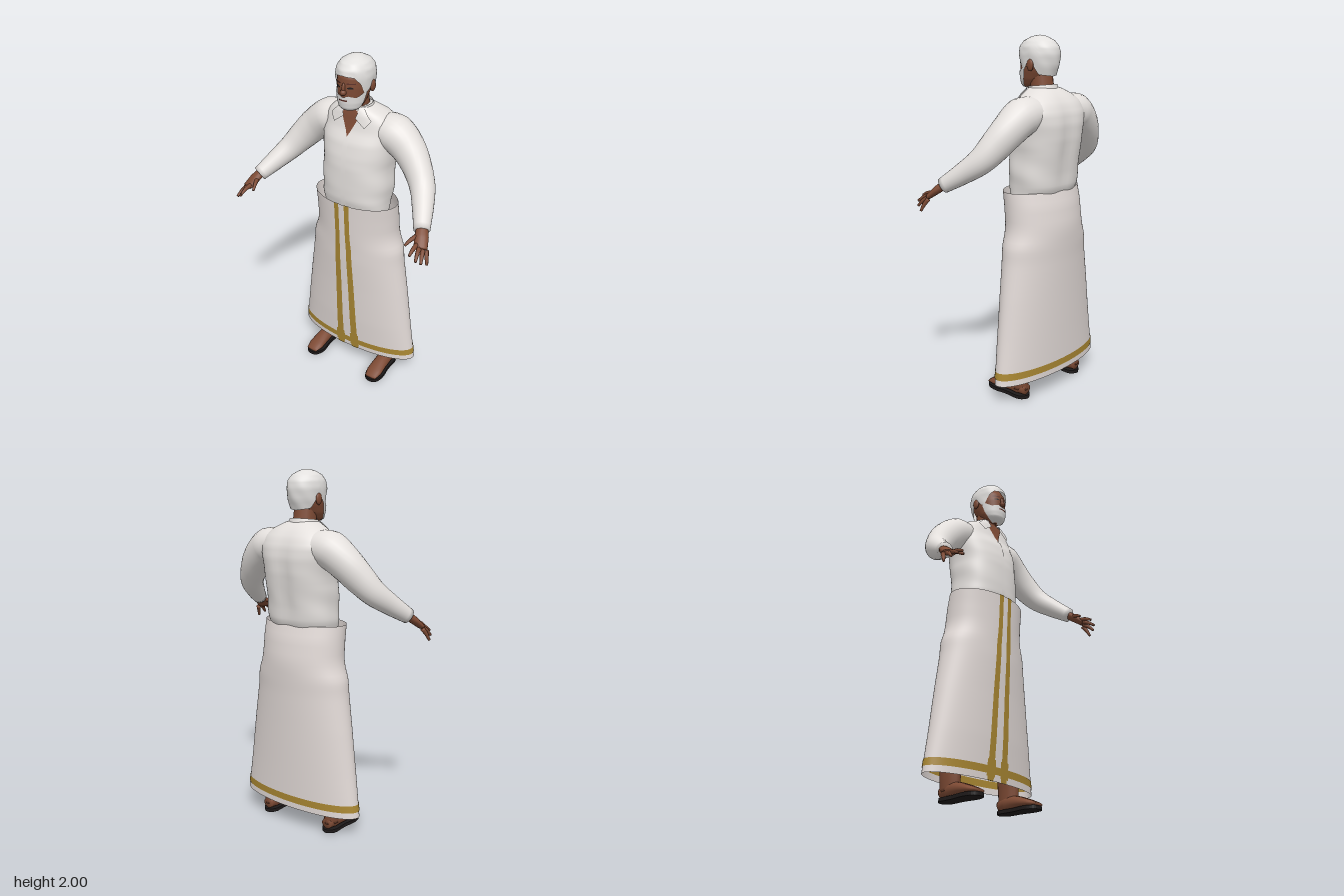
import * as THREE from 'three';
import { mergeVertices } from 'three/addons/utils/BufferGeometryUtils.js';

const mat = (name, color) => new THREE.MeshStandardMaterial({ name, color, side: THREE.DoubleSide });
const { PI, sin, cos, abs, sign, sqrt, min, max } = Math;

// Grid surface from f(u, v) -> [x, y, z]
function patch(f, nu, nv) {
  const pos = [], idx = [];
  for (let j = 0; j <= nv; j++) for (let i = 0; i <= nu; i++) pos.push(...f(i / nu, j / nv));
  for (let j = 0; j < nv; j++) for (let i = 0; i < nu; i++) {
    const a = j * (nu + 1) + i, b = a + nu + 1;
    idx.push(a, a + 1, b, a + 1, b + 1, b);
  }
  let g = new THREE.BufferGeometry();
  g.setAttribute('position', new THREE.Float32BufferAttribute(pos, 3));
  g.setIndex(idx);
  g = mergeVertices(g, 1e-5);
  g.computeVertexNormals();
  return g;
}

// Rounded tube through [x, y, z, radiusA, radiusB] stations, closed at both ends
function limb(pts, up = new THREE.Vector3(0, 1, 0), sides = 16, rings = 20) {
  const curve = new THREE.CatmullRomCurve3(pts.map(p => new THREE.Vector3(p[0], p[1], p[2])));
  return patch((u, v) => {
    const t = min(1, max(0, (v * (rings + 2) - 1) / rings)), end = v === 0 || v === 1;
    const k = min(pts.length - 2, Math.floor(t * (pts.length - 1))), f = t * (pts.length - 1) - k;
    const r = i => end ? 0 : pts[k][i] + (pts[k + 1][i] - pts[k][i]) * f;
    const c = curve.getPoint(t), d = curve.getTangent(t);
    const n = up.clone().cross(d).normalize(), b = d.clone().cross(n);
    const a = (u === 1 ? 0 : u) * 2 * PI;
    return c.addScaledVector(n, cos(a) * r(3)).addScaledVector(b, sin(a) * r(4)).toArray();
  }, sides, rings + 2);
}

// Linear lookup in a table whose first column is the key
function at(table, y) {
  let k = 0;
  while (k < table.length - 2 && y > table[k + 1][0]) k++;
  const a = table[k], b = table[k + 1], f = min(1, max(0, (y - a[0]) / (b[0] - a[0])));
  return a.map((v, i) => v + (b[i] - v) * f);
}

// Point on a stacked oval: table rows are [y, half width, back z, front z], angle 0 is front
const pw = (v, p) => sign(v) * abs(v) ** p;
function oval(table, th, y, off = 0, p = 1) {
  const [, w, zb, zf] = at(table, y);
  return [(w + off) * pw(sin(th), p), y, (zb + zf) / 2 + ((zf - zb) / 2 + off) * pw(cos(th), p)];
}

const SKIRT = [[.12, .4, -.24, .01], [.35, .367, -.247, .03], [.6, .332, -.255, .045], [.8, .3, -.262, .06],
  [.88, .293, -.267, .063], [.95, .265, -.27, .068], [1.0, .257, -.268, .071], [1.1, .257, -.253, .076], [1.18, .258, -.23, .08]];
const TORSO = [[1.12, .19, -.21, .04], [1.2, .202, -.245, .06], [1.27, .203, -.252, .062], [1.4, .2, -.272, .06],
  [1.46, .205, -.28, .053], [1.54, .215, -.283, .035], [1.6, .22, -.273, .005], [1.65, .205, -.25, -.008],
  [1.69, .16, -.215, -.016], [1.72, .1, -.175, -.025], [1.735, .06, -.14, -.03]];
const HEAD = [[1.715, .005, -.03, .0], [1.725, .04, -.06, .03], [1.74, .058, -.08, .043], [1.77, .072, -.115, .049],
  [1.81, .081, -.145, .052], [1.85, .087, -.162, .053], [1.9, .088, -.165, .048], [1.95, .07, -.14, .02], [1.98, .01, -.07, -.06]];
const HAIR = [[1.78, .084, -.155, .05], [1.84, .094, -.178, .058], [1.9, .1, -.186, .06], [1.94, .094, -.178, .053],
  [1.97, .075, -.152, .03], [1.99, .043, -.11, -.012], [1.997, .022, -.09, -.04], [2, .001, -.066, -.064]];
const HAIRLINE = [[0, 1.915], [.6, 1.908], [.95, 1.87], [1.15, 1.82], [1.4, 1.825], [1.65, 1.875], [1.95, 1.83], [2.2, 1.795], [PI, 1.785]];
const BEARDLINE = [[0, 1.802], [.35, 1.812], [.8, 1.803], [1.1, 1.82], [1.4, 1.845]];

// Front of the shirt at (x, y)
const ROUND = .82;
function chest(x, y, off) {
  const [, w, zb, zf] = at(TORSO, y);
  const s = min(1, abs(x) / w) ** (1 / ROUND);
  return [x, y, (zb + zf) / 2 + (zf - zb) / 2 * sqrt(1 - s * s) ** ROUND + off];
}

export function createModel() {
  const model = new THREE.Group();
  model.name = 'standingMan';
  const shirt = mat('shirtWhite', 0xe4e0dd), cloth = mat('skirtWhite', 0xe0d8d5), gold = mat('goldTrim', 0xa88632);
  const skin = mat('skin', 0x7d4a34), hair = mat('hairWhite', 0xe2e0de), dark = mat('soleBlack', 0x1e1a1a);
  const lip = mat('lip', 0x5a3028);
  const add = (name, geo, m) => {
    const mesh = new THREE.Mesh(geo, m);
    mesh.name = name;
    model.add(mesh);
    return mesh;
  };
  const ball = (name, m, x, y, z, sx, sy, sz) => {
    const b = add(name, new THREE.SphereGeometry(1, 16, 12), m);
    b.position.set(x, y, z);
    b.scale.set(sx, sy, sz);
  };

  // Long wrapped skirt with gold hem and front stripes, trimmed on both faces
  const wrap = (name, m, t0, t1, y0, y1, off, nu, nv) => add(name,
    patch((u, v) => oval(SKIRT, t0 + (t1 - t0) * u, y0 + (y1 - y0) * v, off), nu, nv), m);
  wrap('skirt', cloth, -PI, PI, .12, 1.18, 0, 72, 40);
  for (const off of [.003, -.003]) {
    wrap('hemBand', gold, -PI, PI, .155, .195, off, 72, 2);
    for (const s of [-1, 1]) {
      wrap('frontStripe', gold, s * .07, s * .185, .12, 1.18, off, 4, 40);
      wrap('stripeKnot', gold, s * .05, s * .205, .14, .23, off * 1.3, 4, 3);
    }
  }

  // Shirt body with a soft hollow along the spine and gentle folds
  add('shirtBody', patch((u, v) => {
    const th = (u * 2 - 1) * PI, y = 1.12 + .615 * v, p = oval(TORSO, th, y, 0, ROUND);
    if (cos(th) < 0) p[2] += .016 * Math.exp(-((p[0] / .05) ** 2)) * sin(PI * v);
    p[0] += .004 * sin(y * 38 + th * 2) * (1 - v);
    return p;
  }, 56, 40), shirt);
  add('placket', patch((u, v) => chest((u - .5) * .03, 1.16 + .41 * v, .004), 4, 16), shirt);
  add('openNeck', patch((u, v) => chest((u * 2 - 1) * .068 * v, 1.57 + .14 * v, .005), 8, 10), skin);
  add('collarBand', patch((u, v) => {
    const th = .5 + u * (2 * PI - 1), back = (1 - cos(th)) / 2;
    return [(.1 - .022 * v) * sin(th), 1.685 + (.045 + .015 * back) * v, -.088 + (.092 - .018 * v) * cos(th)];
  }, 32, 4), shirt);
  for (const s of [-1, 1]) {
    const A = [.06, 1.738], B = [.125, 1.672], C = [.095, 1.63], D = [.036, 1.675];
    add('collarWing', patch((u, v) => {
      const q = i => (A[i] * (1 - u) + B[i] * u) * (1 - v) + (D[i] * (1 - u) + C[i] * u) * v;
      return chest(s * q(0), q(1), .014);
    }, 8, 8), shirt);
  }

  // Neck and head
  add('neck', limb([[0, 1.62, -.1, .066, .066], [0, 1.7, -.085, .064, .066], [0, 1.8, -.07, .062, .066]], new THREE.Vector3(0, 0, 1)), skin);
  add('head', patch((u, v) => oval(HEAD, (u * 2 - 1) * PI, 1.715 + .265 * v), 40, 40), skin);
  add('hair', patch((u, v) => {
    const th = (u * 2 - 1) * PI, y0 = at(HAIRLINE, abs(th))[1], p = oval(HAIR, th, y0 + (2 - y0) * (1 - (1 - v) ** 2));
    const wave = 1 + .012 * sin(th * 7 + p[1] * 50) * (1 - v);
    return [p[0] * wave, p[1], -.063 + (p[2] + .063) * wave];
  }, 64, 24), hair);
  add('beard', patch((u, v) => {
    const th = (u * 2 - 1) * 1.4, top = at(BEARDLINE, abs(th))[1];
    return oval(HEAD, th, 1.716 + (top - 1.716) * v, .007);
  }, 32, 16), hair);
  add('mouth', patch((u, v) => oval(HEAD, (u - .5) * .6, 1.782 + .008 * v, .01), 8, 2), lip);
  ball('nose', skin, 0, 1.828, .056, .017, .016, .018);
  ball('noseBridge', skin, 0, 1.85, .05, .01, .028, .014);
  for (const s of [-1, 1]) {
    ball('ear', skin, s * .093, 1.845, -.078, .012, .032, .022);
    add('eye', patch((u, v) => oval(HEAD, s * (.25 + .34 * u), 1.85 + .011 * v * (1 - abs(u - .5)), .003), 6, 2), dark);
    add('eyebrow', patch((u, v) => oval(HEAD, s * (.2 + .5 * u), 1.872 + .007 * v, .004), 6, 2), lip);
  }

  for (const s of [-1, 1]) {
    const side = pts => pts.map(([x, ...r]) => [s * x, ...r]);

    // Sleeve
    add('sleeve', limb(side([[.11, 1.6, -.135, .1, .085], [.21, 1.585, -.13, .108, .103], [.3, 1.52, -.118, .09, .093],
      [.37, 1.445, -.09, .077, .083], [.43, 1.37, -.045, .068, .07], [.485, 1.3, .04, .056, .056], [.535, 1.235, .132, .043, .042]]),
    undefined, 24, 30), shirt);

    // Hand: palm, four fingers and thumb
    add('palm', limb(side([[.525, 1.25, .11, .028, .024], [.55, 1.212, .16, .037, .022], [.572, 1.173, .205, .035, .015]])), skin);
    const fingers = [
      [[.548, 1.188, .2], [.55, 1.165, .28]], [[.565, 1.178, .205], [.585, 1.14, .278]],
      [[.583, 1.168, .2], [.605, 1.12, .256]], [[.595, 1.163, .185], [.62, 1.1, .218]],
      [[.532, 1.218, .155], [.498, 1.185, .237]]];
    fingers.forEach(([a, b], i) => {
      const mid = a.map((v, k) => (v + b[k]) / 2 + (k === 1 ? .006 : 0));
      add(i === 4 ? 'thumb' : 'finger', limb(side([[...a, .013, .013], [...mid, .011, .011], [...b, .007, .007]]), undefined, 10, 8), skin);
    });

    // Leg, bare foot and flat sandal sole
    add('leg', limb(side([[.222, .05, -.11, .038, .062], [.222, .14, -.11, .043, .068], [.21, .35, -.11, .055, .07],
      [.17, .6, -.1, .065, .08], [.13, .95, -.09, .1, .1]]), new THREE.Vector3(0, 0, 1)), skin);
    add('foot', limb(side([[.22, .05, -.168, .03, .03], [.22, .058, -.11, .041, .045], [.221, .052, -.03, .044, .036],
      [.223, .038, .05, .049, .022], [.225, .028, .1, .036, .01]])), skin);
    const outline = [[.22, .178], [.18, .15], [.178, .05], [.168, -.05], [.19, -.1], [.225, -.11], [.26, -.095], [.276, -.04], [.265, .05], [.26, .15]];
    const shape = new THREE.Shape(new THREE.CatmullRomCurve3(
      outline.map(([x, y]) => new THREE.Vector3(s * x, y, 0)), true).getPoints(40).slice(0, -1).map(p => new THREE.Vector2(p.x, p.y)));
    add('sandalSole', new THREE.ExtrudeGeometry(shape, { depth: .02, bevelEnabled: false }).rotateX(-PI / 2), dark);
  }
  return model;
}
